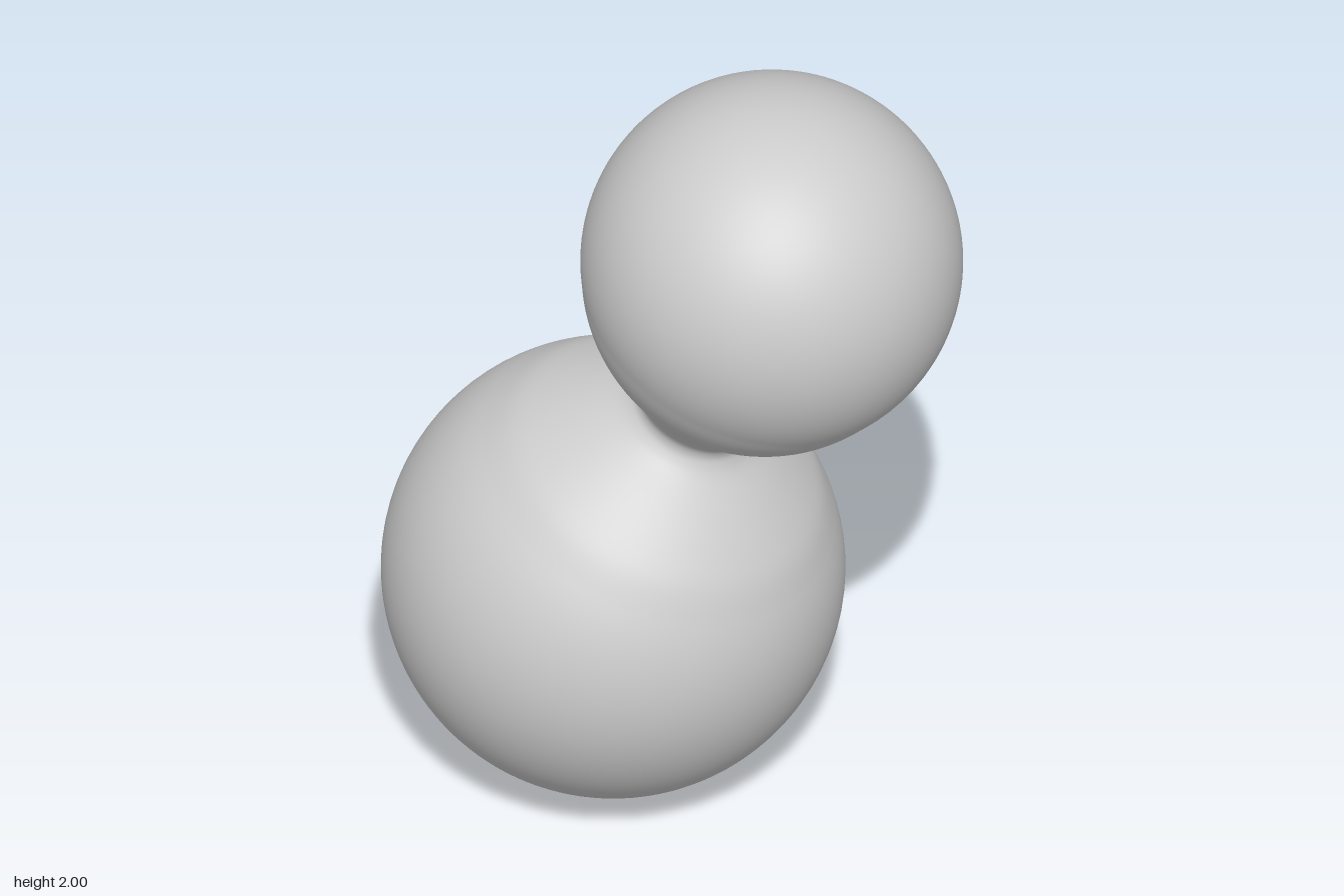
import * as THREE from 'three';

// Two balls melted together by a pinched neck, turned about their common axis
const LOWER = { center: new THREE.Vector3(-0.09, 0.528, -0.113), radius: 0.528 };
const UPPER = { center: new THREE.Vector3(0.178, 1.565, 0.21), radius: 0.435 };

// Points on a ball's profile between two polar angles (0 = bottom, PI = top)
function arc(radius, height, from, to, steps) {
  const points = [];
  for (let i = 0; i <= steps; i++) {
    const a = from + (to - from) * (i / steps);
    points.push(new THREE.Vector2(Math.max(0, radius * Math.sin(a)), height - radius * Math.cos(a)));
  }
  return points;
}

export function createModel() {
  const group = new THREE.Group();
  group.name = 'blob';

  const axis = UPPER.center.clone().sub(LOWER.center);
  const span = axis.length();

  // Where each ball's round part gives way to the neck
  const lowerArc = arc(LOWER.radius, 0, 0, Math.acos(-0.3 / LOWER.radius), 44);
  const upperArc = arc(UPPER.radius, span, Math.acos((span - 0.94) / UPPER.radius), Math.PI, 44);

  // Neck: [height along axis, radius]
  const neck = [
    [0.376, 0.378], [0.43, 0.318], [0.486, 0.242], [0.53, 0.176], [0.555, 0.15],
    [0.577, 0.14], [0.605, 0.146], [0.65, 0.178], [0.69, 0.213], [0.74, 0.26],
    [0.79, 0.307], [0.84, 0.346], [0.89, 0.375],
  ].map(([h, r]) => new THREE.Vector2(r, h));
  const neckCurve = new THREE.SplineCurve([lowerArc.at(-1), ...neck, upperArc[0]]);

  const profile = [...lowerArc, ...neckCurve.getPoints(70).slice(1, -1), ...upperArc];
  const body = new THREE.Mesh(
    new THREE.LatheGeometry(profile, 96),
    new THREE.MeshStandardMaterial({ color: 0xcccccc, roughness: 0.8 }),
  );
  body.name = 'body';
  body.position.copy(LOWER.center);
  body.quaternion.setFromUnitVectors(new THREE.Vector3(0, 1, 0), axis.normalize());
  group.add(body);

  return group;
}
